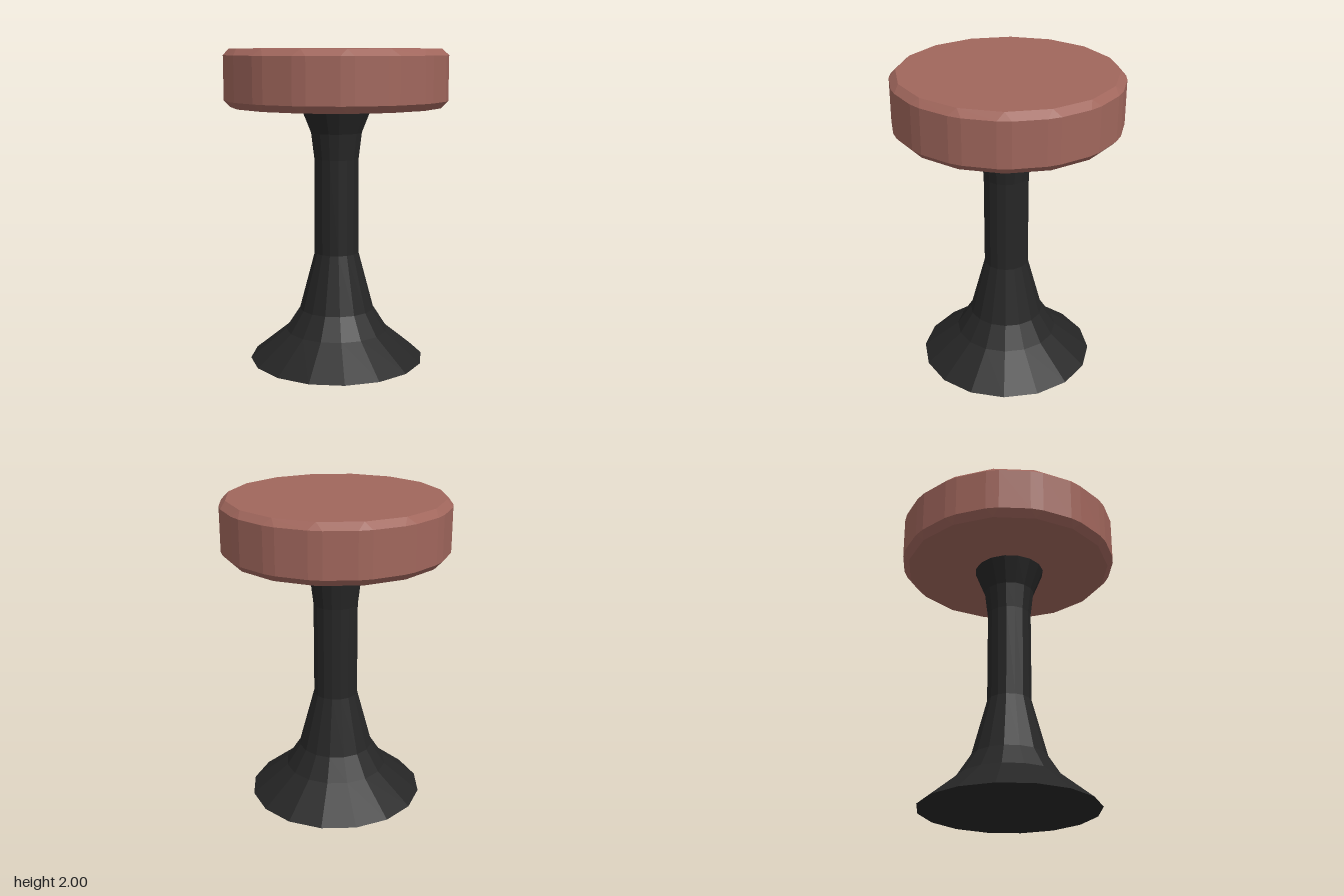
import * as THREE from 'three';

const SIDES = 16;
const material = (color) => new THREE.MeshStandardMaterial({ color, flatShading: true });

// Faceted solid of revolution from [radius, height] pairs, listed bottom to top
function turned(profile, segments) {
  return new THREE.LatheGeometry(profile.map(([r, y]) => new THREE.Vector2(r, y)), segments);
}

// Give every face its own normals
function faceted(geometry) {
  const flat = geometry.toNonIndexed();
  flat.computeVertexNormals();
  return flat;
}

// Cushion: 16-sided disc with chamfered rims and chamfered upright edges
function cushionGeometry() {
  const rim = 0.707, cap = 0.67;
  const profile = [[0, 1.64], [cap, 1.64], [rim, 1.683], [rim, 1.96], [cap, 2], [0, 2]];
  const geometry = turned(profile, SIDES * 2);
  const pos = geometry.attributes.position;
  const spread = THREE.MathUtils.degToRad(3.3);
  for (let i = 0; i < pos.count; i++) {
    const column = Math.floor(i / profile.length);
    const [r, y] = profile[i % profile.length];
    // Columns pair up around each corner; on the caps each pair meets in one point
    let angle = Math.floor(column / 2) * (Math.PI * 2 / SIDES);
    if (r === rim) angle += column % 2 ? spread : -spread;
    pos.setXYZ(i, r * Math.sin(angle), y, r * Math.cos(angle));
  }
  return faceted(geometry);
}

export function createModel() {
  const model = new THREE.Group();
  model.name = 'stool';

  const seat = new THREE.Mesh(cushionGeometry(), material(0xa0665c));
  seat.name = 'seat';

  // Flared pedestal, closed underneath and ending at the cushion
  const pedestal = new THREE.Mesh(faceted(turned([
    [0, 0], [0.563, 0], [0.33, 0.19], [0.24, 0.33], [0.142, 0.7],
    [0.142, 1.31], [0.162, 1.475], [0.23, 1.645],
  ], SIDES)), material(0x262626));
  pedestal.name = 'pedestal';
  pedestal.position.z = 0.01;

  model.add(seat, pedestal);
  return model;
}
